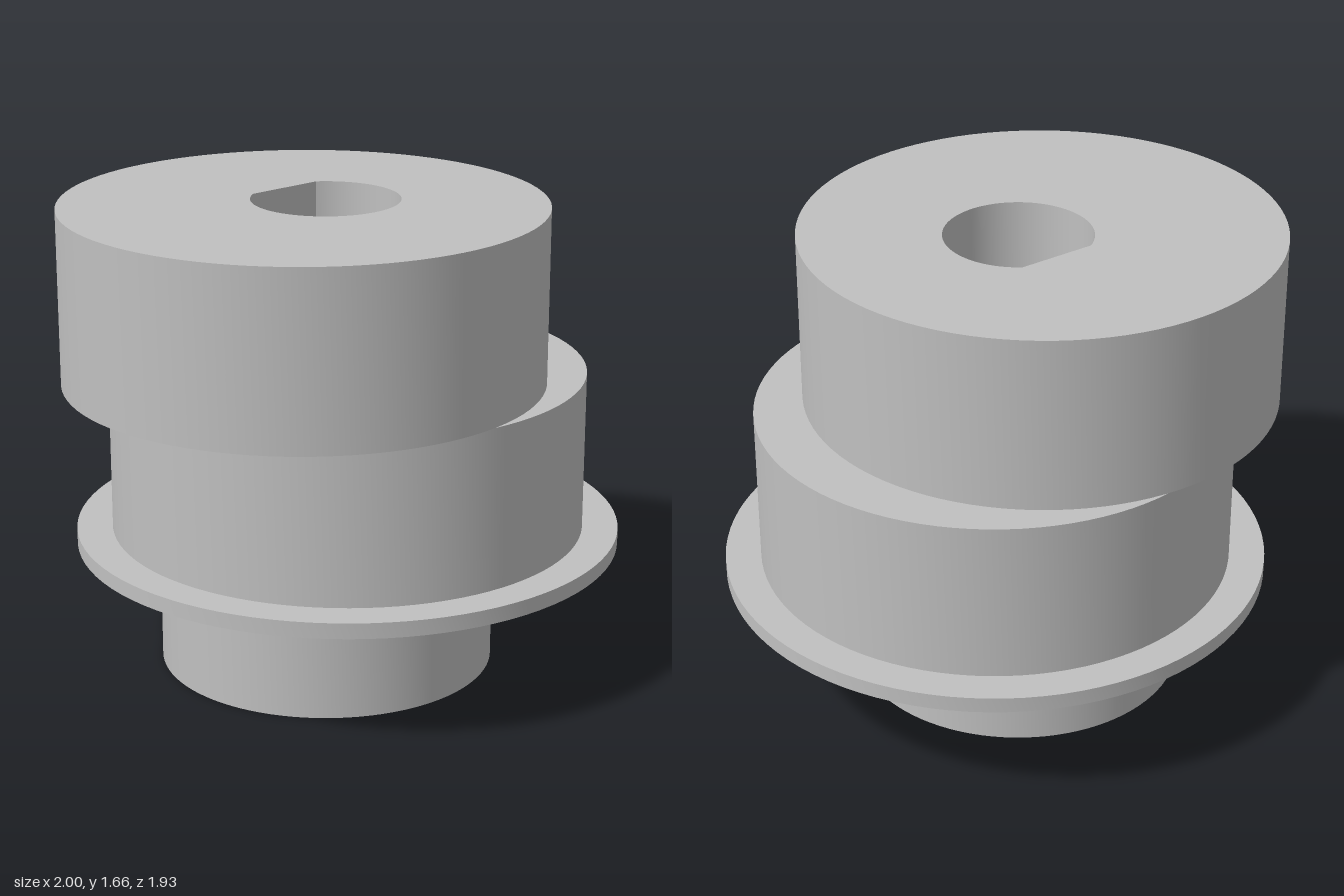
import * as THREE from 'three';
import { toCreasedNormals } from 'three/addons/utils/BufferGeometryUtils.js';

const BORE_X = -0.063, BORE_R = 0.258, BORE_FLAT = 0.215;

// D-shaped bore: an arc closed by a flat towards the back
function boreHole() {
  const a = Math.asin(BORE_FLAT / BORE_R);
  const hole = new THREE.Path();
  hole.absarc(BORE_X, 0, BORE_R, Math.PI - a, 2 * Math.PI + a, false);
  hole.closePath();
  return hole;
}

// Round section centred on x = cx, from y0 to y1, pierced by the bore
function section(name, cx, radius, y0, y1, material) {
  const shape = new THREE.Shape();
  shape.absarc(cx, 0, radius, 0, Math.PI * 2, false);
  shape.holes.push(boreHole());
  const geo = new THREE.ExtrudeGeometry(shape, {
    depth: y1 - y0, bevelEnabled: false, curveSegments: 48,
  });
  geo.rotateX(-Math.PI / 2);
  geo.translate(0, y0, 0);
  const mesh = new THREE.Mesh(toCreasedNormals(geo, Math.PI / 6), material);
  mesh.name = name;
  return mesh;
}

export function createModel() {
  const metal = new THREE.MeshStandardMaterial({ color: 0xc0c0c0 });
  metal.name = 'grey metal';

  const model = new THREE.Group();
  model.name = 'eccentricBushing';
  model.add(
    section('baseHub', -0.063, 0.59, 0, 0.425, metal),
    section('flange', 0.037, 0.963, 0.425, 0.48, metal),
    section('lowerEccentric', 0.037, 0.837, 0.48, 1.05, metal),
    section('upperEccentric', -0.163, 0.837, 1.05, 1.665, metal),
  );
  return model;
}
